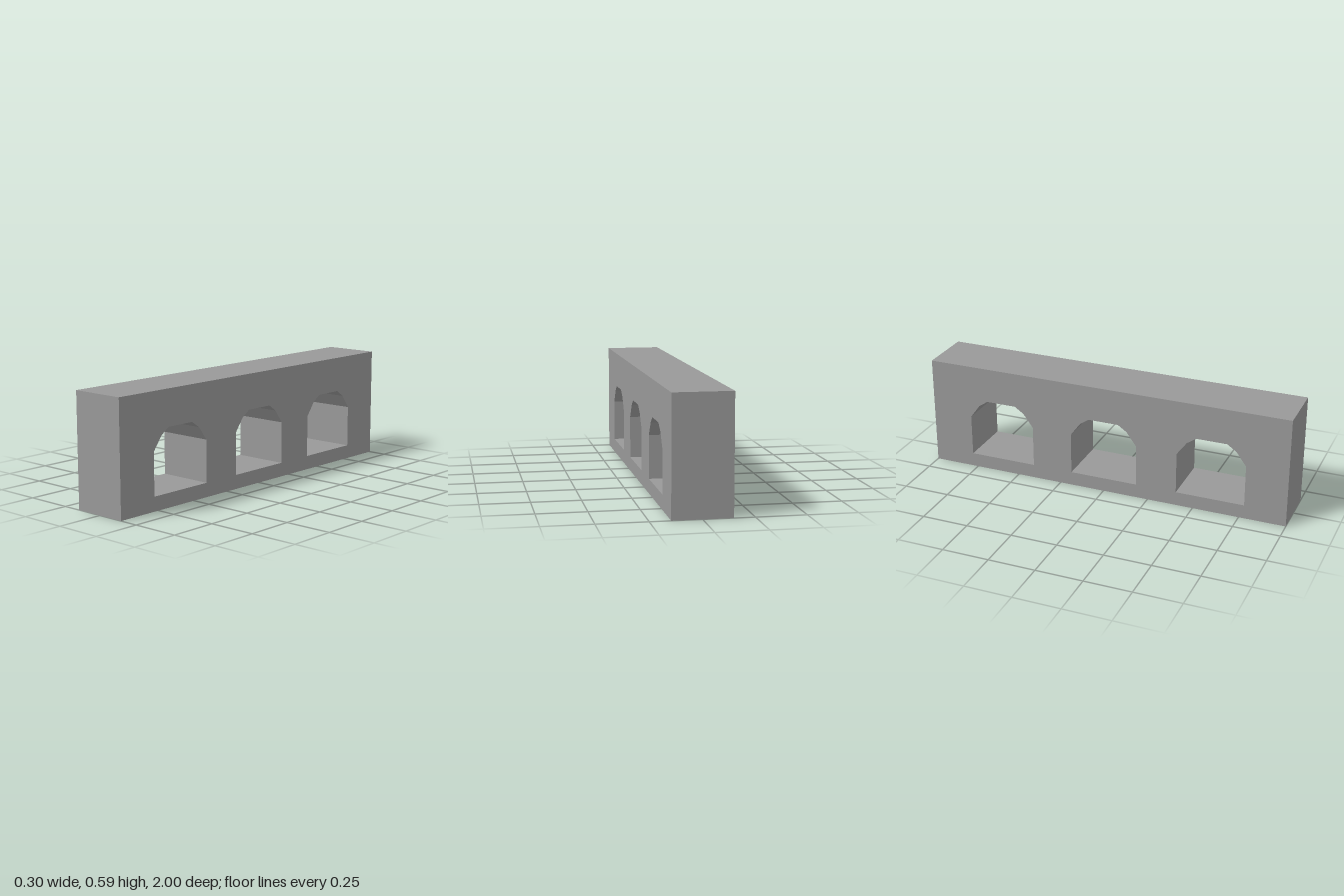
import * as THREE from 'three';

const LENGTH = 2, HEIGHT = 0.593, DEPTH = 0.296;

// Half outline of one arched opening, from sill to crown: [offset, height]
const ARCH = [[0.185, 0.075], [0.185, 0.298], [0.132, 0.37], [0.082, 0.404]];

function archHole(centre) {
  const right = ARCH.map(([d, y]) => new THREE.Vector2(centre + d, y));
  const left = ARCH.map(([d, y]) => new THREE.Vector2(centre - d, y)).reverse();
  return new THREE.Path([...right, ...left]);
}

export function createModel() {
  const group = new THREE.Group();
  group.name = 'archedWall';

  // Side profile of the wall, pierced by three openings
  const h = LENGTH / 2;
  const profile = new THREE.Shape([
    new THREE.Vector2(-h, 0), new THREE.Vector2(h, 0),
    new THREE.Vector2(h, HEIGHT), new THREE.Vector2(-h, HEIGHT),
  ]);
  for (const i of [-1, 0, 1]) profile.holes.push(archHole(i * 0.592));

  // Extruded through its thickness, then turned so its length runs along z
  const geometry = new THREE.ExtrudeGeometry(profile, { depth: DEPTH, bevelEnabled: false });
  geometry.translate(0, 0, -DEPTH / 2);
  geometry.rotateY(-Math.PI / 2);

  const material = new THREE.MeshStandardMaterial({ color: 0x999999, flatShading: true });
  const wall = new THREE.Mesh(geometry, material);
  wall.name = 'wallWithArches';
  group.add(wall);
  return group;
}
